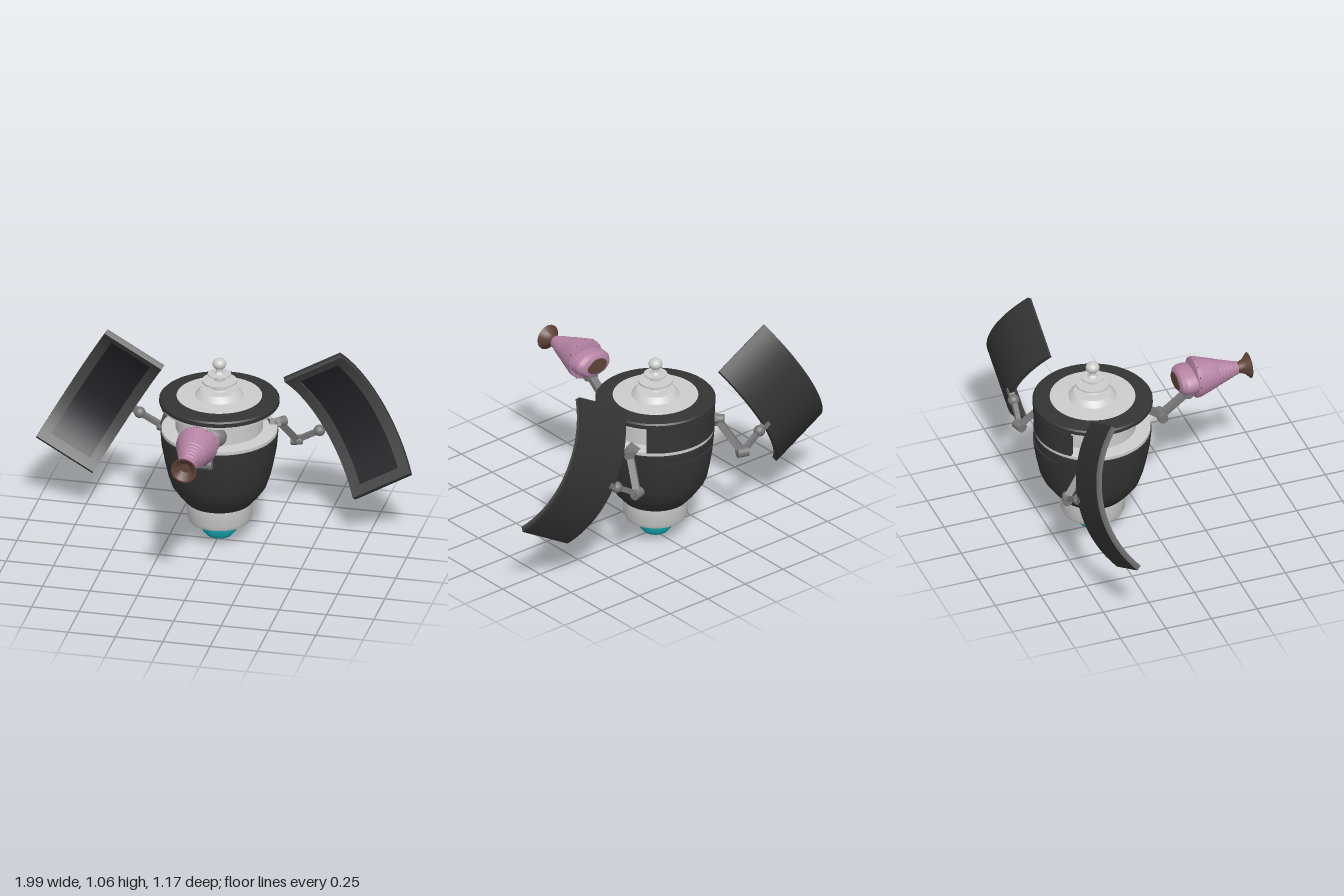
import * as THREE from 'three';
import { toCreasedNormals } from 'three/addons/utils/BufferGeometryUtils.js';

const mat = (color) => new THREE.MeshStandardMaterial({ color, side: THREE.DoubleSide });
const light = mat(0xcccccc), dark = mat(0x343434), inner = mat(0x222226), frameGrey = mat(0x454545);
const grey = mat(0x777777), cyan = mat(0x17b3bb), pink = mat(0xb583a3), brown = mat(0x5e4238);

function add(parent, name, geometry, material) {
  const mesh = new THREE.Mesh(geometry, material);
  mesh.name = name;
  parent.add(mesh);
  return mesh;
}

// Profile points are [radius, height], listed bottom to top
function lathe(points, start = 0, length = Math.PI * 2, sides = 48) {
  const profile = points.map(([r, y]) => new THREE.Vector2(r, y));
  return toCreasedNormals(new THREE.LatheGeometry(profile, sides, start, length), 0.5);
}

// Wall section centred on the back, closed at its ends
function backShell(outer, thickness, halfAngle) {
  const inside = [...outer].reverse().map(([r, y]) => [r - thickness, y]);
  return lathe([...outer, ...inside, outer[0]], Math.PI - halfAngle, halfAngle * 2, 24);
}

function rod(parent, name, a, b, width, depth = width, material = grey) {
  const from = new THREE.Vector3(...a), to = new THREE.Vector3(...b);
  const mesh = add(parent, name, new THREE.BoxGeometry(width, from.distanceTo(to), depth), material);
  mesh.position.lerpVectors(from, to, 0.5);
  mesh.quaternion.setFromUnitVectors(new THREE.Vector3(0, 1, 0), to.sub(from).normalize());
}

function hinge(parent, name, at, radius, width, turn = 0) {
  const geometry = new THREE.CylinderGeometry(radius, radius, width, 20).rotateZ(Math.PI / 2);
  const mesh = add(parent, name, geometry, grey);
  mesh.position.set(...at);
  mesh.rotation.y = turn;
}

// Box bent backwards along its length, around an axis parallel to x
const BEND = 0.57, HALF_ARC = 0.73;
function bentBox(w, x, arc, arcCentre, thickness, depth) {
  const g = new THREE.BoxGeometry(w, 1, thickness, 1, 20, 1);
  const p = g.attributes.position;
  for (let i = 0; i < p.count; i++) {
    const angle = p.getY(i) * arc + arcCentre;
    const r = BEND - depth - thickness / 2 - p.getZ(i);
    p.setXYZ(i, p.getX(i) + x, r * Math.sin(angle), 0.02 - r * Math.cos(angle));
  }
  return toCreasedNormals(g, 0.5);
}

function createSide() {
  const side = new THREE.Group();
  // Curved panel with a raised rim around a sunken face
  const panel = new THREE.Group();
  panel.name = 'curvedPanel';
  const w = 0.345, rim = 0.055, rimArc = 0.1;
  add(panel, 'panelBack', bentBox(w, 0, HALF_ARC * 2, 0, 0.014, 0), dark);
  add(panel, 'panelFace', bentBox(w - rim * 2, 0, (HALF_ARC - rimArc) * 2, 0, 0.004, 0.014), inner);
  for (const s of [-1, 1]) {
    add(panel, 'panelSideRim', bentBox(rim, s * (w - rim) / 2, HALF_ARC * 2, 0, 0.016, 0.014), frameGrey);
    add(panel, 'panelEndRim', bentBox(w - rim * 2, 0, rimArc, s * (HALF_ARC - rimArc / 2), 0.016, 0.014), frameGrey);
  }
  panel.position.set(0.654, 0.645, 0);
  panel.rotation.z = Math.PI / 6;
  side.add(panel);

  // Jointed arm from the body to the panel edge
  const shoulder = [0.29, 0.625, -0.415], elbow = [0.35, 0.465, -0.55], ball = [0.475, 0.54, -0.535];
  rod(side, 'shoulderBracket', [0.24, 0.625, -0.39], shoulder, 0.045, 0.06);
  hinge(side, 'shoulderHinge', shoulder, 0.025, 0.075, 0.8);
  rod(side, 'upperArm', shoulder, elbow, 0.036);
  hinge(side, 'elbowHinge', elbow, 0.026, 0.06, 0.3);
  rod(side, 'forearm', elbow, ball, 0.026);
  add(side, 'panelBall', new THREE.SphereGeometry(0.03, 20, 14), grey).position.set(...ball);
  rod(side, 'panelMount', ball, [0.53, 0.575, -0.537], 0.03);
  return side;
}

function createPod() {
  const pod = new THREE.Group();
  pod.name = 'frontPod';
  const along = (points) => lathe(points, 0, Math.PI * 2, 32).rotateX(Math.PI / 2);
  const cone = [[0, 0.265], [0.07, 0.265], [0.108, 0.277], [0.107, 0.3]];
  // Fine steps near the narrow end
  for (let i = 0; i < 5; i++) {
    const z = 0.4 + i * 0.022, r = 0.107 - (z - 0.3) * 0.33;
    cone.push([r, z], [r - 0.004, z + 0.003]);
  }
  cone.push([0.034, 0.52], [0, 0.52]);
  add(pod, 'podCone', along(cone), pink);
  const rear = [[0, 0.183], [0.065, 0.183], [0.09, 0.193], [0.106, 0.215], [0.109, 0.24], [0.105, 0.275]];
  add(pod, 'podRear', along(rear), pink).scale.y = 0.64;
  add(pod, 'podRearCap', along([[0, 0.178], [0.06, 0.178], [0.066, 0.186]]), brown).scale.y = 0.64;
  add(pod, 'podNozzle', along([[0.03, 0.51], [0.03, 0.535], [0.042, 0.56], [0.068, 0.585],
    [0.06, 0.585], [0.025, 0.55], [0, 0.55]]), brown);
  // Rivets around the widest part
  for (let i = 0; i < 12; i++) {
    const a = i * Math.PI / 6;
    add(pod, 'podRivet', new THREE.SphereGeometry(0.004, 6, 4), brown)
      .position.set(0.107 * Math.cos(a), 0.107 * Math.sin(a), 0.285);
  }
  pod.position.set(0.015, 0.785, 0);
  return pod;
}

export function createModel() {
  const model = new THREE.Group();
  model.name = 'probe';

  // Round body
  const body = new THREE.Group();
  body.name = 'body';
  body.position.set(0.005, 0, -0.277);
  model.add(body);
  add(body, 'lowerLens', lathe([[0, 0.003], [0.03, 0.006], [0.065, 0.022], [0.088, 0.05], [0.095, 0.08], [0.1, 0.11]]), cyan);
  add(body, 'lowerCollar', lathe([[0, 0.103], [0.14, 0.103], [0.158, 0.11], [0.167, 0.13], [0.169, 0.217], [0, 0.22]]), light);
  add(body, 'hull', lathe([[0, 0.218], [0.172, 0.218], [0.21, 0.262], [0.244, 0.31], [0.264, 0.37],
    [0.282, 0.45], [0.297, 0.53], [0.304, 0.608], [0, 0.61]]), dark);
  add(body, 'waistRing', lathe([[0.28, 0.608], [0.299, 0.61], [0.299, 0.627], [0.225, 0.632]]), light);
  add(body, 'neck', lathe([[0.225, 0.628], [0.225, 0.768]]), light);
  add(body, 'upperRing', lathe([[0.22, 0.752], [0.296, 0.755], [0.296, 0.772]]), light);
  add(body, 'topRim', lathe([[0.2, 0.77], [0.303, 0.77], [0.31, 0.776], [0.31, 0.794], [0.303, 0.802], [0.222, 0.811], [0.2, 0.811]]), dark);
  add(body, 'topCover', lathe([[0.223, 0.806], [0.22, 0.813], [0.125, 0.817], [0.12, 0.825], [0.097, 0.846], [0, 0.846]]), light);
  add(body, 'antenna', lathe([[0.045, 0.845], [0.034, 0.852], [0.034, 0.888], [0.09, 0.89], [0.09, 0.899],
    [0.028, 0.901], [0.028, 0.928], [0.06, 0.93], [0.06, 0.936], [0.028, 0.938], [0.018, 0.95], [0.016, 0.97]]), light);
  const knob = add(body, 'antennaKnob', new THREE.SphereGeometry(0.036, 28, 20), light);
  knob.position.y = 0.991;
  knob.scale.y = 0.83;

  // Back wall and raised hatch
  add(body, 'backWall', backShell([[0.304, 0.63], [0.306, 0.768]], 0.03, 0.84), dark);
  add(body, 'backHatch', backShell([[0.258, 0.33], [0.275, 0.37], [0.292, 0.45], [0.305, 0.53], [0.307, 0.56]], 0.02, 0.59), dark);

  // Front ball socket and its jointed arm
  const socket = add(model, 'frontSocket', new THREE.SphereGeometry(0.065, 28, 20), grey);
  socket.position.set(0.01, 0.694, -0.028);
  socket.scale.set(1.4, 0.97, 1);
  const elbow = [0.01, 0.595, 0.1], wrist = [0.01, 0.705, 0.245];
  rod(model, 'frontLowerArm', [0.01, 0.665, 0.01], elbow, 0.05, 0.03);
  hinge(model, 'frontElbow', elbow, 0.027, 0.085);
  rod(model, 'frontUpperArm', elbow, wrist, 0.042, 0.028);
  hinge(model, 'frontWrist', wrist, 0.027, 0.06);
  model.add(createPod());

  // Mirrored side arms and panels
  for (const s of [1, -1]) {
    const side = createSide();
    side.name = s > 0 ? 'leftSide' : 'rightSide';
    side.scale.x = s;
    model.add(side);
  }
  return model;
}
